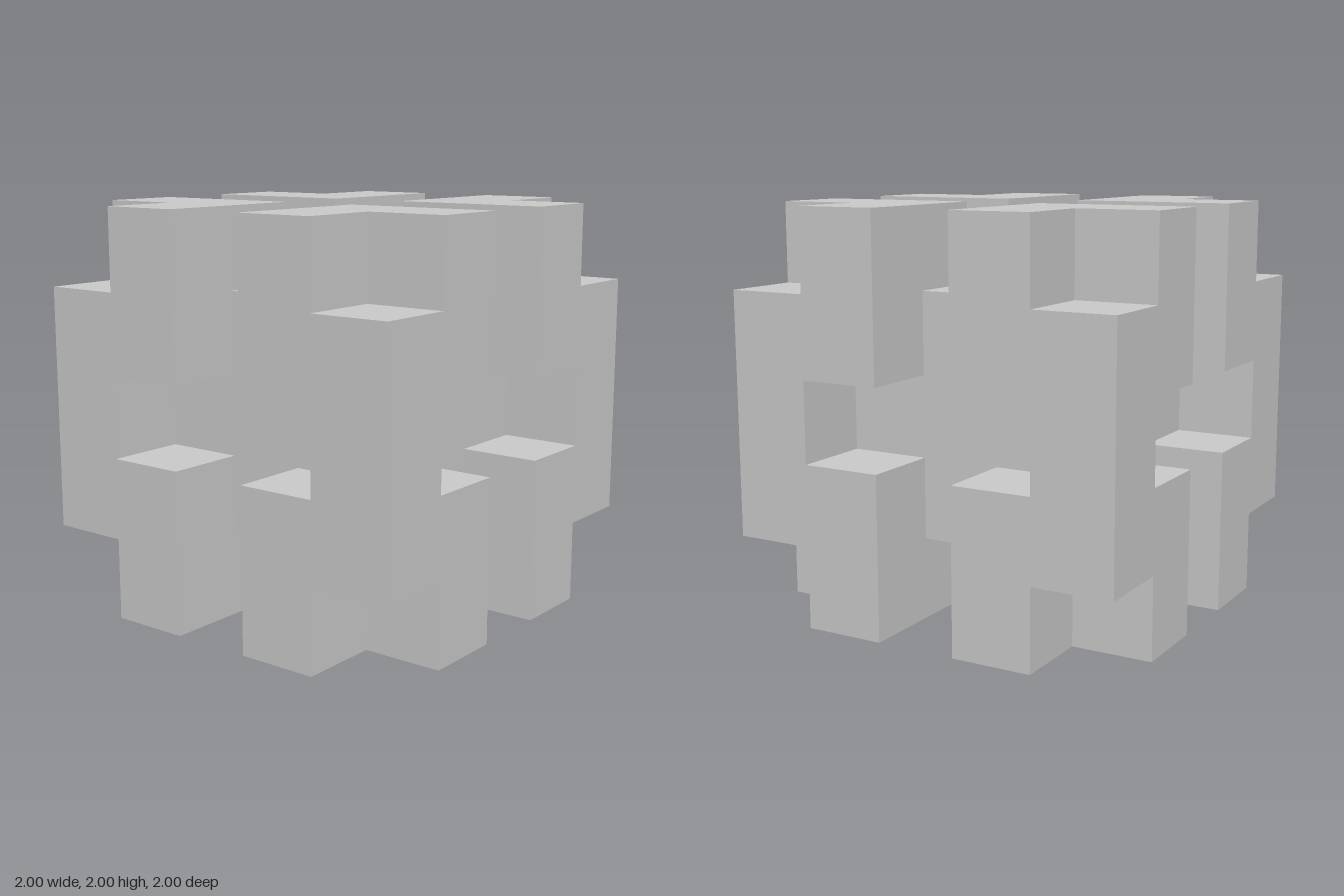
import * as THREE from 'three';
import { mergeGeometries } from 'three/addons/utils/BufferGeometryUtils.js';

const CELL = 0.4; // the solid sits on a 5 x 5 x 5 grid of cubes, indices -2..2
const RANGE = [-2, -1, 0, 1, 2];

const isCore = (x, y, z) => Math.max(Math.abs(x), Math.abs(y), Math.abs(z)) <= 1;

// Shell: cross-shaped grooves on every face, notched corners, four upright bridges
function isShell(x, y, z) {
  const [a, b, c] = [x, y, z].map(Math.abs);
  if (Math.max(a, b, c) !== 2) return false;
  if (a === 2 && c === 2) return b < 2;
  return a * b * c > 0;
}

const isFilled = (x, y, z) => isCore(x, y, z) || isShell(x, y, z);

// Six face directions, each with the rotation that turns a +z plane towards it
const H = Math.PI / 2;
const FACES = [
  [[1, 0, 0], [0, H, 0]], [[-1, 0, 0], [0, -H, 0]],
  [[0, 1, 0], [-H, 0, 0]], [[0, -1, 0], [H, 0, 0]],
  [[0, 0, 1], [0, 0, 0]], [[0, 0, -1], [0, Math.PI, 0]],
];

// Exposed skin of all cells that belong to one part
function skin(belongs) {
  const quads = [];
  for (const x of RANGE) for (const y of RANGE) for (const z of RANGE) {
    if (!belongs(x, y, z)) continue;
    for (const [[dx, dy, dz], [rx, ry]] of FACES) {
      if (isFilled(x + dx, y + dy, z + dz)) continue;
      quads.push(new THREE.PlaneGeometry(CELL, CELL).rotateX(rx).rotateY(ry).translate(
        (x + dx / 2) * CELL, (y + dy / 2) * CELL + 1, (z + dz / 2) * CELL));
    }
  }
  return mergeGeometries(quads);
}

export function createModel() {
  const model = new THREE.Group();
  model.name = 'notchedCube';
  const material = new THREE.MeshStandardMaterial({ color: 0xcccccc, flatShading: true });

  const add = (name, belongs) => {
    const mesh = new THREE.Mesh(skin(belongs), material);
    mesh.name = name;
    model.add(mesh);
  };

  // Inner block seen at the bottom of the grooves
  add('core', isCore);

  // Four notched upright posts, one per vertical edge
  for (const [sx, sideX] of [[1, 'Left'], [-1, 'Right']]) {
    for (const [sz, sideZ] of [[1, 'front'], [-1, 'back']]) {
      add(`${sideZ}${sideX}Post`, (x, y, z) => isShell(x, y, z) && x * sx > 0 && z * sz > 0);
    }
  }
  return model;
}
